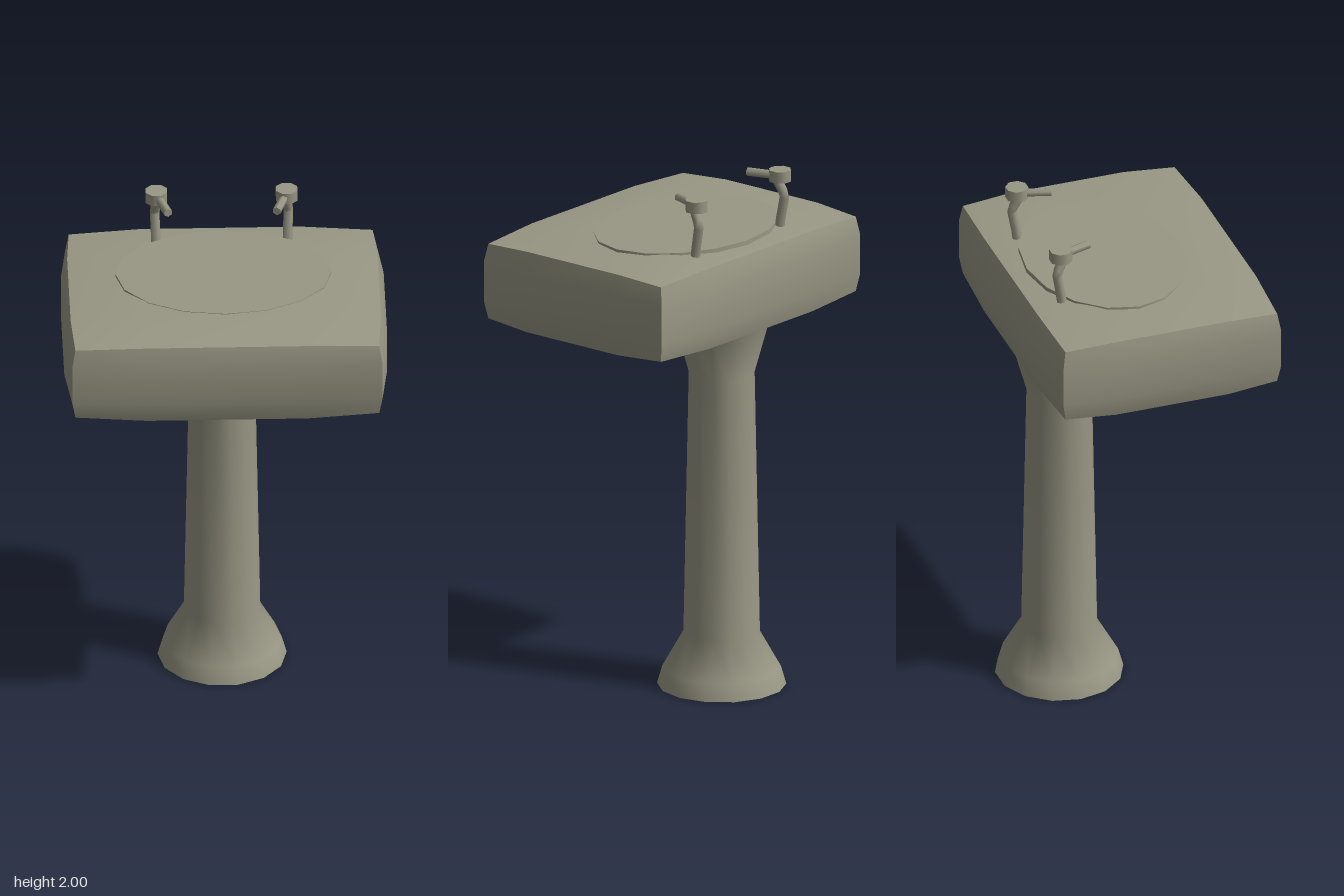
import * as THREE from 'three';

const ceramic = new THREE.MeshStandardMaterial({ color: 0x999784 });
ceramic.name = 'warm grey ceramic';

function part(name, geometry, parent) {
  const mesh = new THREE.Mesh(geometry, ceramic);
  mesh.name = name;
  parent.add(mesh);
  return mesh;
}

// Box whose faces bulge outward: corners stay, edges swell a little, faces swell most
function pillowBox(hx, hy, hz) {
  const half = [hx, hy, hz];
  const geo = new THREE.BoxGeometry(2, 2, 2, 3, 3, 3);
  const pos = geo.attributes.position;
  const swell = [0, 0.036, 0.012, 0];
  for (let i = 0; i < pos.count; i++) {
    const v = [pos.getX(i), pos.getY(i), pos.getZ(i)];
    const extremes = v.filter((c) => Math.abs(c) > 0.99).length;
    const out = v.map((c, k) =>
      Math.abs(c) > 0.99
        ? Math.sign(c) * (half[k] + swell[extremes])
        : Math.sign(c) * half[k] * 0.53);
    pos.setXYZ(i, ...out);
  }
  geo.computeVertexNormals();
  return geo;
}

// Tap on a bent stem with an octagonal head and a short spout
function makeTap(side) {
  const tap = new THREE.Group();
  tap.name = side > 0 ? 'leftTap' : 'rightTap';

  const path = new THREE.CurvePath();
  const points = [[0.25, 1.75, -0.312], [0.25, 1.8, -0.318], [0.254, 1.9, -0.336], [0.243, 1.965, -0.3]]
    .map(([x, y, z]) => new THREE.Vector3(side * x, y, z));
  for (let i = 0; i < 3; i++) path.add(new THREE.LineCurve3(points[i], points[i + 1]));
  part('tapStem', new THREE.TubeGeometry(path, 8, 0.019, 7), tap);

  const head = part('tapHead', new THREE.CylinderGeometry(0.044, 0.044, 0.045, 8), tap);
  head.position.set(side * 0.247, 1.9775, -0.317);
  head.rotation.y = Math.PI / 8;

  const spout = part('tapSpout', new THREE.CylinderGeometry(0.017, 0.017, 0.12, 6).rotateX(Math.PI / 2), tap);
  spout.position.set(side * 0.224, 1.975, -0.249);
  spout.rotation.y = -side * 0.31;
  return tap;
}

export function createModel() {
  const sink = new THREE.Group();
  sink.name = 'pedestalSink';

  // Basin body
  part('basin', pillowBox(0.576, 0.148, 0.426), sink).position.set(0, 1.603, 0.01);

  // Oval bowl surface sitting just proud of the top
  const bowl = part('bowlOval', new THREE.CylinderGeometry(1, 1, 0.04, 16), sink);
  bowl.scale.set(0.41, 1, 0.306);
  bowl.position.set(0, 1.769, -0.06);

  // Flared pedestal
  const profile = [[0, 0], [0.245, 0], [0.245, 0], [0.225, 0.07], [0.145, 0.21],
    [0.125, 1.24], [0.18, 1.44], [0.18, 1.44], [0, 1.44]].map(([x, y]) => new THREE.Vector2(x, y));
  const groups = [profile.slice(0, 2), profile.slice(2, 7), profile.slice(7)];
  ['pedestalFoot', 'pedestalColumn', 'pedestalTop'].forEach((name, i) => {
    const mesh = part(name, new THREE.LatheGeometry(groups[i], 14), sink);
    mesh.position.z = -0.235;
    mesh.rotation.y = Math.PI / 2;
  });

  // Pair of taps
  for (const side of [1, -1]) sink.add(makeTap(side));
  return sink;
}
